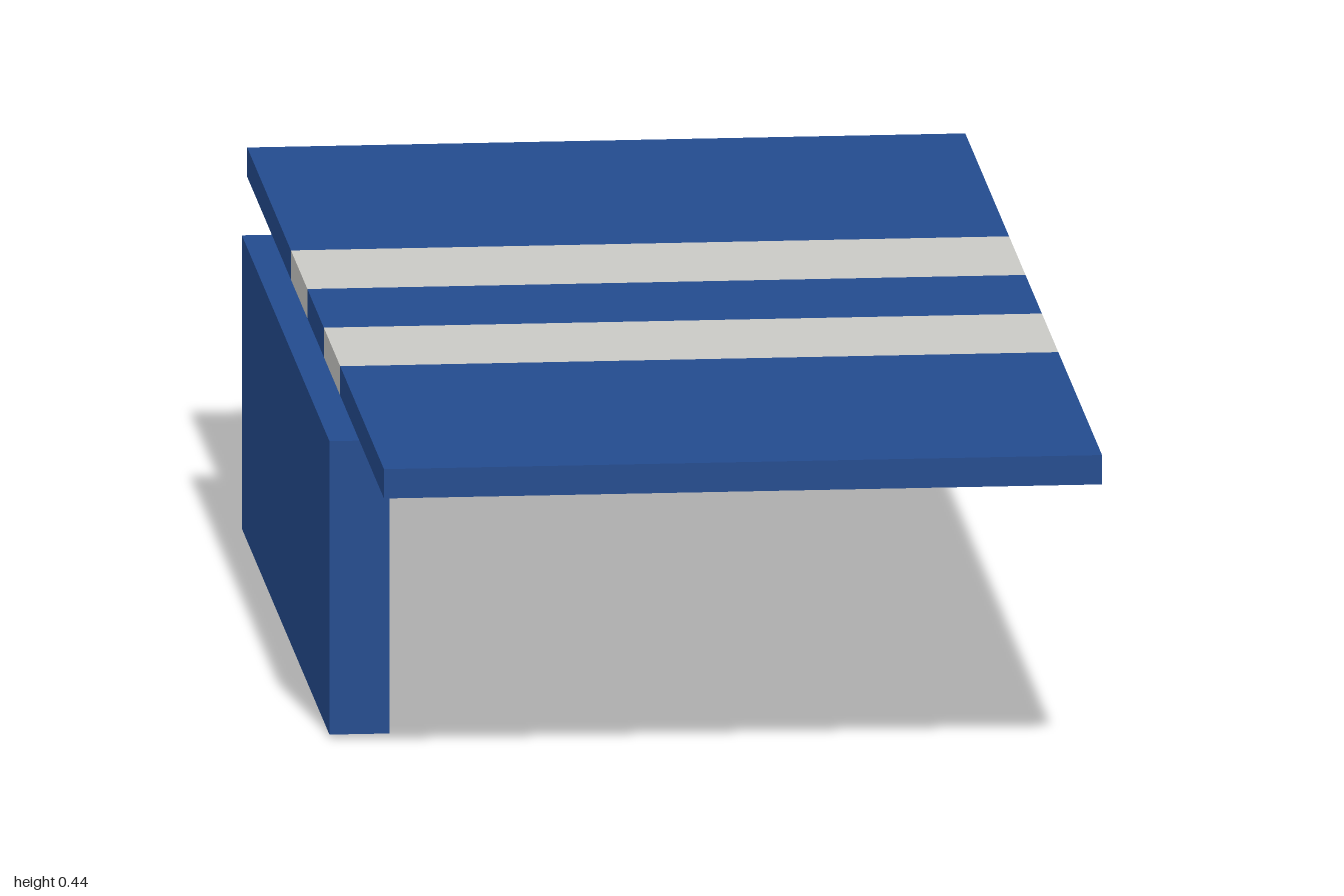
import * as THREE from 'three';

export function createModel() {
  const model = new THREE.Group();
  const blue = new THREE.MeshStandardMaterial({ color: 0x234b8e });
  blue.name = 'blue';
  const lightGrey = new THREE.MeshStandardMaterial({ color: 0xc9c9c5 });
  lightGrey.name = 'lightGrey';

  // Adds a box spanning the given ranges on each axis
  function addBox(name, [x0, x1], [y0, y1], [z0, z1], material) {
    const geometry = new THREE.BoxGeometry(x1 - x0, y1 - y0, z1 - z0);
    const mesh = new THREE.Mesh(geometry, material);
    mesh.name = name;
    mesh.position.set((x0 + x1) / 2, (y0 + y1) / 2, (z0 + z1) / 2);
    model.add(mesh);
  }

  // Flat top slab, cut along z into blue panels and grey stripes
  const cuts = [-1, -0.36, -0.12, 0.12, 0.36, 1];
  for (let i = 0; i < cuts.length - 1; i++) {
    const striped = i % 2 === 1;
    addBox(striped ? 'stripe' : 'topPanel', [-0.46, 0.5], [0.4, 0.44],
      [cuts[i], cuts[i + 1]], striped ? lightGrey : blue);
  }

  // Upright support under one long edge
  addBox('supportPanel', [-0.5, -0.42], [0, 0.4], [-0.64, 0.64], blue);

  return model;
}
